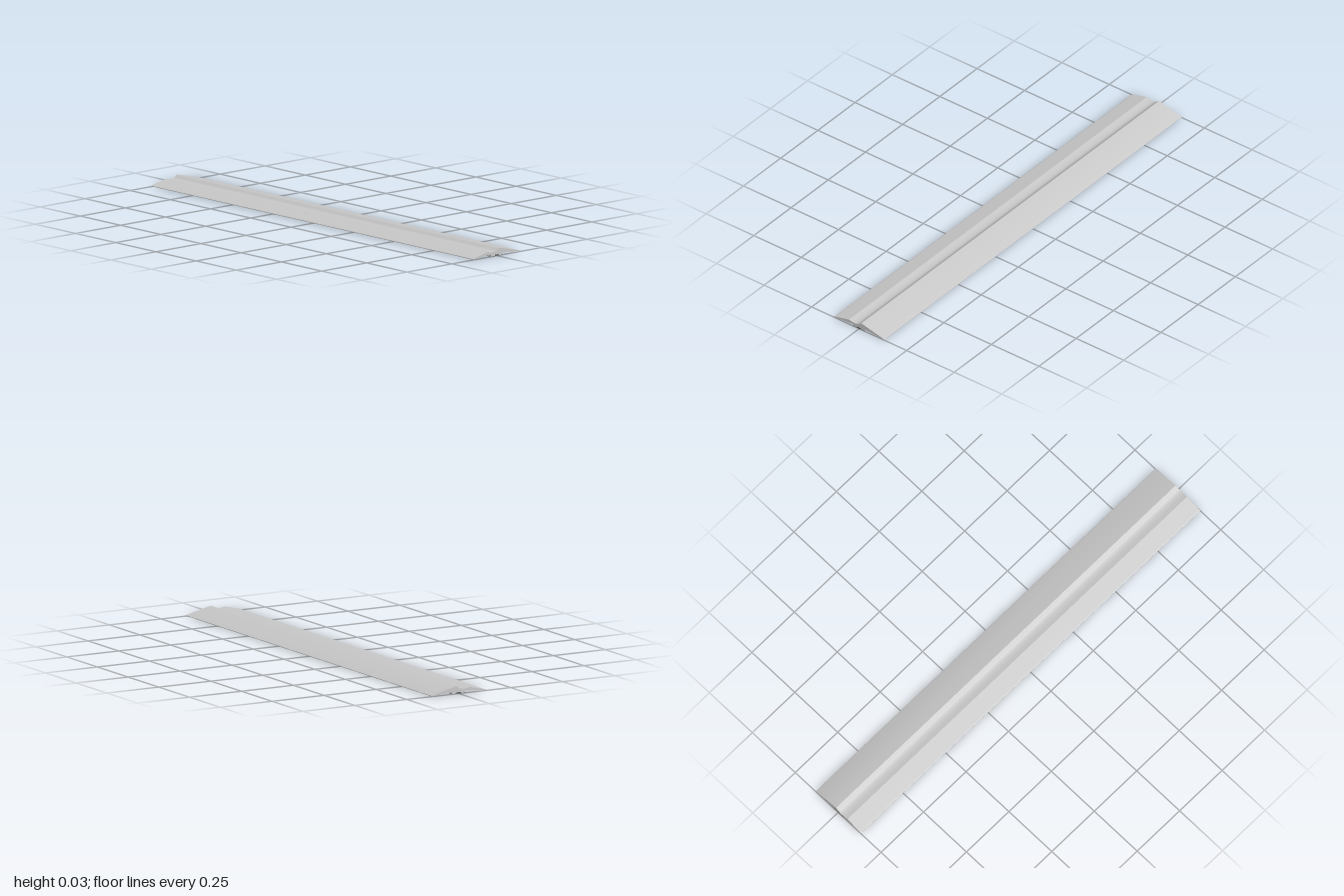
import * as THREE from 'three';
import { toCreasedNormals } from 'three/addons/utils/BufferGeometryUtils.js';

const LENGTH = 2;

// Extrude a (z, y) cross-section along the whole length in x.
function bar(name, shape, material) {
  const geometry = new THREE.ExtrudeGeometry(shape, {
    depth: LENGTH, bevelEnabled: false, curveSegments: 10,
  });
  geometry.translate(0, 0, -LENGTH / 2).rotateY(-Math.PI / 2);
  const mesh = new THREE.Mesh(toCreasedNormals(geometry, 0.3), material);
  mesh.name = name;
  return mesh;
}

function polygon(points) {
  return new THREE.Shape(points.map(([z, y]) => new THREE.Vector2(z, y)));
}

export function createModel() {
  const metal = new THREE.MeshStandardMaterial({ color: 0xc8c8c8 });
  metal.name = 'light grey metal';
  const rubber = new THREE.MeshStandardMaterial({ color: 0x5c5c5c });
  rubber.name = 'dark grey rubber';

  // Threshold profile: two sloping wings, a rounded valley and a slotted foot
  const profile = new THREE.Shape();
  profile.moveTo(0.131, 0.001);
  profile.lineTo(0.131, 0.003);
  profile.lineTo(0.127, 0.0055);
  profile.lineTo(0.054, 0.0225);
  profile.lineTo(0.034, 0.0187);
  profile.bezierCurveTo(0.02, 0.0165, 0.006, 0.019, -0.003, 0.0265);
  profile.quadraticCurveTo(-0.008, 0.0315, -0.012, 0.0325);
  profile.lineTo(-0.126, 0.0055);
  profile.lineTo(-0.131, 0.003);
  profile.lineTo(-0.131, 0.001);
  for (const [z, y] of [
    [-0.032, 0.009], [-0.032, 0.001], [-0.010, 0.001], [-0.010, 0.006],
    [0.011, 0.006], [0.011, 0.001], [0.033, 0.001], [0.033, 0.009],
  ]) profile.lineTo(z, y);

  const group = new THREE.Group();
  group.name = 'thresholdStrip';
  group.add(bar('profile', profile, metal));

  // Dark core in the slot, with a thin pad over the whole underside of the foot
  group.add(bar('coreAndPad', polygon([
    [-0.032, 0], [0.033, 0], [0.033, 0.001], [0.011, 0.001],
    [0.011, 0.006], [-0.010, 0.006], [-0.010, 0.001], [-0.032, 0.001],
  ]), rubber));
  return group;
}
